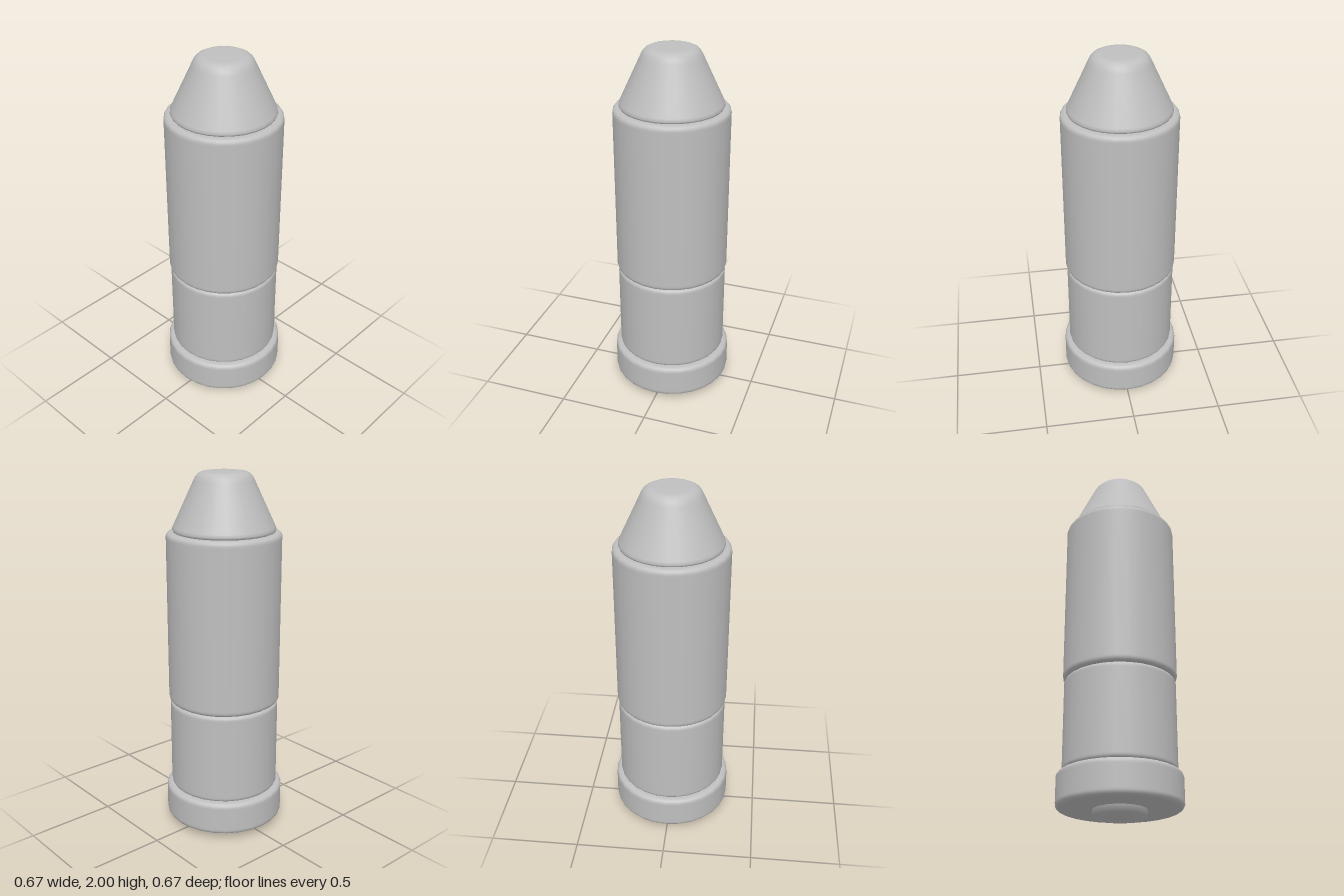
import * as THREE from 'three';

const SIDES = 28;

// Solid of revolution from [radius, height] pairs, listed bottom to top
function turned(name, profile, material) {
  const points = profile.map(([r, y]) => new THREE.Vector2(r, y));
  const mesh = new THREE.Mesh(new THREE.LatheGeometry(points, SIDES), material);
  mesh.name = name;
  return mesh;
}

// Closed drum profile with rounded rims; bevel is [radial, vertical] size
function drumProfile(radius, bottom, top, [br, bh], steps = 4) {
  const lower = [], upper = [];
  for (let i = 0; i <= steps; i++) {
    const a = (i / steps) * Math.PI / 2;
    lower.push([radius - br + br * Math.sin(a), bottom + bh - bh * Math.cos(a)]);
    upper.push([radius - br + br * Math.cos(a), top - bh + bh * Math.sin(a)]);
  }
  // Extra rings beside each rim keep the wall and end faces evenly shaded
  const inner = radius - br - 0.01;
  return [
    [0, bottom], [inner, bottom], ...lower, [radius, bottom + bh + 0.01],
    [radius, top - bh - 0.01], ...upper, [inner, top], [0, top],
  ];
}

export function createModel() {
  const metal = new THREE.MeshStandardMaterial({ color: 0xbfbfbf });
  metal.name = 'grey metal';
  const model = new THREE.Group();
  model.name = 'cartridge';

  // Small round stub under the base
  model.add(turned('primer', [[0, 0], [0.142, 0], [0.142, 0.06]], metal));

  // Wide rim, narrow lower case and long upper case, with grooves between
  model.add(turned('baseRim', drumProfile(0.333, 0.037, 0.225, [0.028, 0.024]), metal));
  model.add(turned('lowerCase', drumProfile(0.304, 0.225, 0.737, [0.022, 0.02]), metal));
  model.add(turned('upperCase', drumProfile(0.311, 0.737, 1.687, [0.026, 0.024]), metal));

  // Tapered nose with a softened flat tip
  model.add(turned('nose', [
    [0, 1.685], [0.262, 1.685], [0.274, 1.69], [0.278, 1.7], [0.273, 1.715],
    [0.162, 1.952], [0.152, 1.973], [0.138, 1.988], [0.12, 1.997], [0.1, 2], [0, 2],
  ], metal));

  return model;
}
